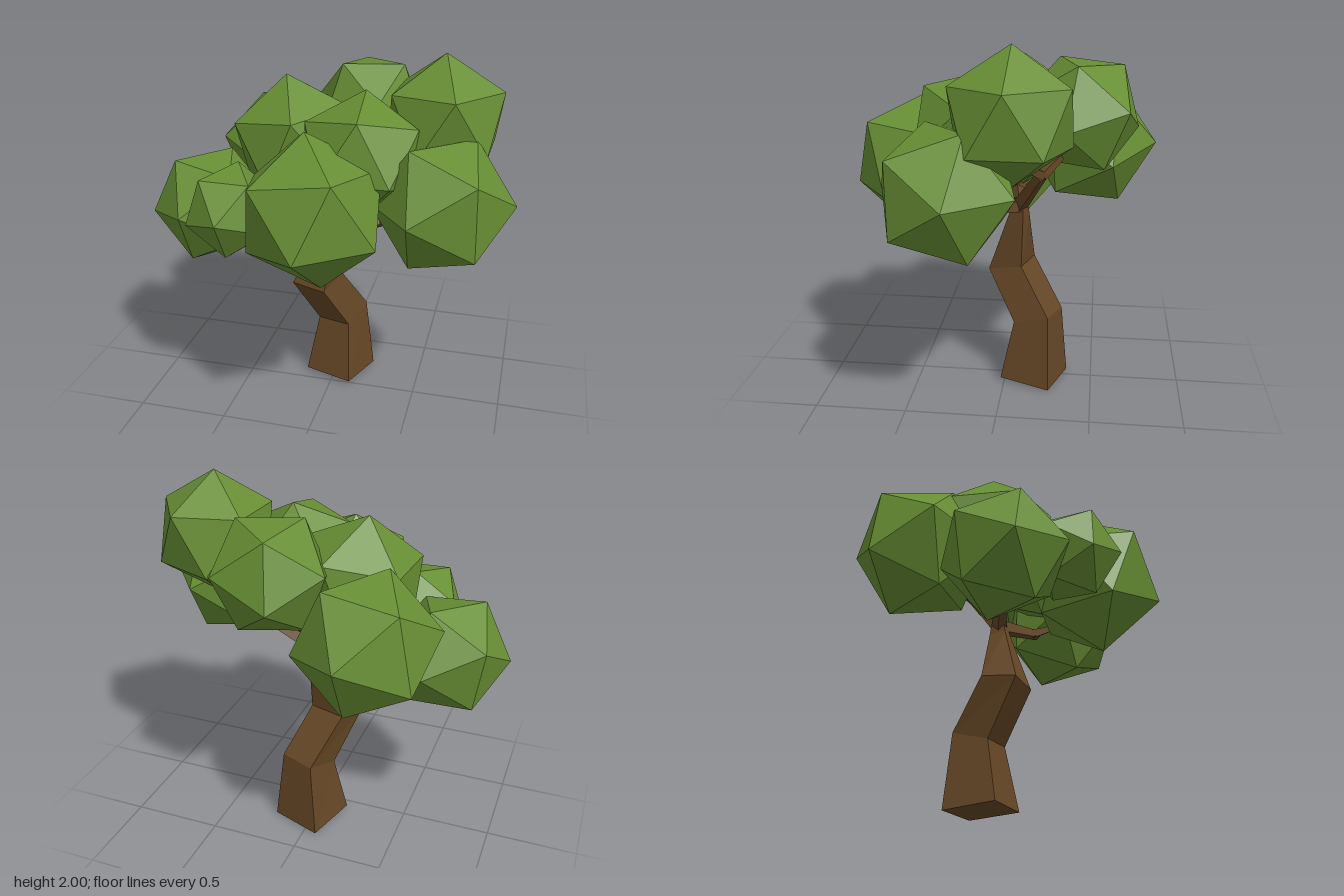
import * as THREE from 'three';

const bark = new THREE.MeshStandardMaterial({ color: 0x664726, flatShading: true });
const leaf = new THREE.MeshStandardMaterial({ color: 0x678e34, flatShading: true });

// Orthonormal frame whose first axis is a and whose second leans towards b
function frame(a, b) {
  const u = a.clone().normalize();
  const v = b.clone().addScaledVector(u, -b.dot(u)).normalize();
  return new THREE.Matrix4().makeBasis(u, v, u.clone().cross(v));
}

// Leaf clump: icosahedron with one corner along d1 and a neighbouring corner towards d2
function clump([centre, r, d1, d2], i) {
  const t = (1 + Math.sqrt(5)) / 2;
  const from = frame(new THREE.Vector3(-1, t, 0), new THREE.Vector3(1, t, 0));
  const to = frame(new THREE.Vector3(...d1), new THREE.Vector3(...d2));
  const mesh = new THREE.Mesh(new THREE.IcosahedronGeometry(r, 0), leaf);
  mesh.quaternion.setFromRotationMatrix(to.multiply(from.transpose()));
  mesh.position.set(...centre);
  mesh.name = `leafClump${i + 1}`;
  return mesh;
}

// Four-sided solid lofted through rings of corners, closed at both ends
function loft(rings) {
  const n = 4, index = [];
  for (let s = 0; s < rings.length - 1; s++) {
    for (let i = 0; i < n; i++) {
      const a = s * n + i, b = s * n + (i + 1) % n;
      index.push(a, b, b + n, a, b + n, a + n);
    }
  }
  const e = (rings.length - 1) * n;
  index.push(0, 2, 1, 0, 3, 2, e, e + 1, e + 2, e, e + 2, e + 3);
  const geo = new THREE.BufferGeometry();
  geo.setAttribute('position', new THREE.Float32BufferAttribute(rings.flat(2), 3));
  geo.setIndex(index);
  const flat = geo.toNonIndexed();
  flat.computeVertexNormals();
  return flat;
}

// Tapered square limb between two points
function limb(name, p, q, r0, r1) {
  const a = new THREE.Vector3(...p), b = new THREE.Vector3(...q);
  const dir = b.clone().sub(a);
  const mesh = new THREE.Mesh(new THREE.CylinderGeometry(r1, r0, dir.length(), 4), bark);
  mesh.quaternion.setFromUnitVectors(new THREE.Vector3(0, 1, 0), dir.normalize());
  mesh.position.copy(a).add(b).multiplyScalar(0.5);
  mesh.name = name;
  return mesh;
}

export function createModel() {
  const tree = new THREE.Group();
  tree.name = 'tree';

  // Crooked trunk: corners run front, right, back, left
  const trunk = new THREE.Mesh(loft([
    [[0.115, 0.02, 0.02], [0.21, 0.005, -0.26], [-0.07, 0, -0.355], [-0.165, 0.02, -0.07]],
    [[0.095, 0.37, -0.055], [0.16, 0.43, -0.25], [-0.03, 0.42, -0.32], [-0.1, 0.36, -0.12]],
    [[-0.015, 0.65, 0.1], [0.045, 0.69, -0.09], [-0.155, 0.69, -0.15], [-0.215, 0.66, 0.04]],
    [[0.03, 1.0, -0.02], [0.06, 1.0, -0.1], [0, 1.0, -0.13], [-0.04, 1.0, -0.04]],
    [[0.04, 1.08, -0.04], [0.06, 1.08, -0.1], [0.01, 1.08, -0.12], [-0.02, 1.08, -0.05]],
  ]), bark);
  trunk.name = 'trunk';
  tree.add(trunk);

  // Branches with forked tips
  const branches = new THREE.Group();
  branches.name = 'branches';
  const hub = [0.02, 1.05, -0.08];
  const forks = [
    ['upperBranch', [0.36, 1.32, -0.22], [[0.28, 1.4, -0.31], [0.46, 1.38, -0.15]]],
    ['leftBranch', [0.2, 1.08, 0.09], [[0.38, 1.15, 0.1], [0.3, 1.16, 0.2]]],
    ['rightBranch', [-0.17, 1.09, -0.05], [[-0.25, 1.15, -0.1], [-0.26, 1.12, 0.01]]],
  ];
  for (const [name, knee, tips] of forks) {
    branches.add(limb(name, hub, knee, 0.045, 0.032));
    tips.forEach((tip, i) => branches.add(limb(`${name}Tip${i + 1}`, knee, tip, 0.032, 0.022)));
  }
  tree.add(branches);

  // Crown: centre, radius, corner direction, neighbouring corner direction
  const crown = new THREE.Group();
  crown.name = 'crown';
  [
    [[-0.685, 1.105, 0.035], 0.335, [-0.31, -0.04, 0.09], [-0.27, 0.13, -0.22]],
    [[-0.44, 1.22, 0.36], 0.255, [0, 0.01, 1], [-0.14, 0.2, 0.11]],
    [[0.02, 1.29, 0.445], 0.4, [0, -0.13, 0.38], [0.16, 0.23, 0.29]],
    [[0.635, 1.3, 0.22], 0.37, [0.36, 0.01, -0.04], [0.16, 0.01, -0.3]],
    [[0.59, 1.66, -0.09], 0.34, [-0.02, 1, 0], [0.08, 0.14, 0.29]],
    [[0.13, 1.6, -0.41], 0.325, [0.19, 0.26, 0.02], [-0.11, 0.23, -0.25]],
    [[-0.38, 1.33, -0.45], 0.38, [0.04, 0.01, -0.37], [0.05, -0.31, -0.14]],
    [[-0.21, 1.485, -0.08], 0.365, [-0.05, 0.33, 0], [0.06, 0.16, 0.31]],
    [[0.2, 1.5, 0.16], 0.34, [0, 0.33, -0.11], [0.03, 0.17, 0.29]],
  ].forEach((c, i) => crown.add(clump(c, i)));
  tree.add(crown);

  return tree;
}
